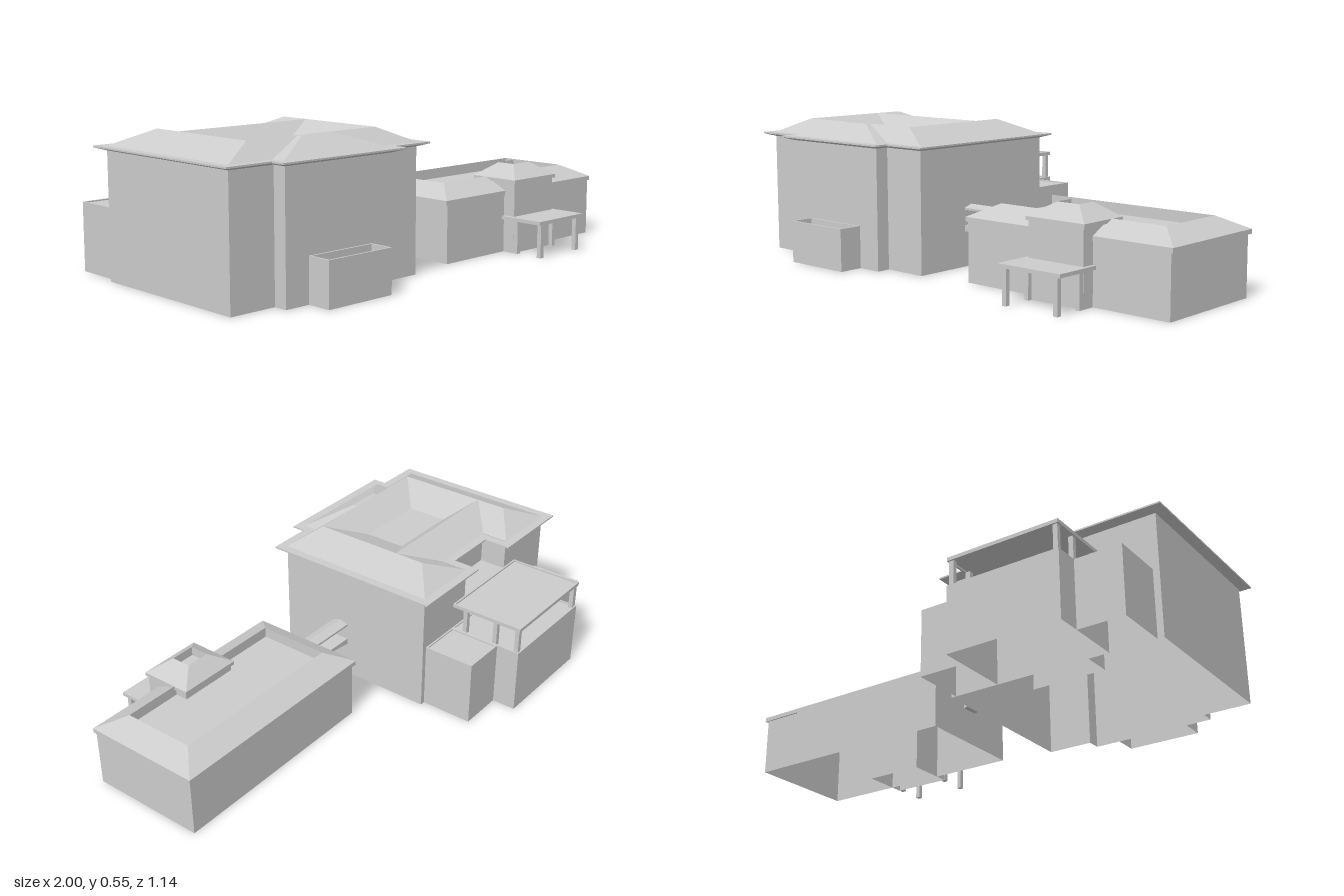
import * as THREE from 'three';

const material = new THREE.MeshStandardMaterial({
  color: 0xcccccc, flatShading: true, side: THREE.DoubleSide,
});

function add(parent, name, geometry) {
  const mesh = new THREE.Mesh(geometry, material);
  mesh.name = name;
  parent.add(mesh);
  return mesh;
}

// Flat polygons, each a convex list of [x, y, z] corners
function polygons(faces) {
  const pos = [];
  for (const f of faces)
    for (let i = 1; i < f.length - 1; i++) pos.push(...f[0], ...f[i], ...f[i + 1]);
  const g = new THREE.BufferGeometry();
  g.setAttribute('position', new THREE.Float32BufferAttribute(pos, 3));
  g.computeVertexNormals();
  return g;
}

// Bands between stacked outlines [y, [[x, z], ...]]; the last may be filled
function loft(loops, cap = false) {
  const faces = [];
  for (let k = 0; k < loops.length - 1; k++) {
    const [y0, a] = loops[k], [y1, b] = loops[k + 1];
    a.forEach((p, i) => {
      const j = (i + 1) % a.length;
      faces.push([[p[0], y0, p[1]], [a[j][0], y0, a[j][1]],
        [b[j][0], y1, b[j][1]], [b[i][0], y1, b[i][1]]]);
    });
  }
  if (cap) {
    const [y, l] = loops[loops.length - 1];
    faces.push(l.map(([x, z]) => [x, y, z]));
  }
  return polygons(faces);
}

const rect = (x0, x1, z0, z1, inset = 0) => [
  [x0 + inset, z1 - inset], [x1 - inset, z1 - inset],
  [x1 - inset, z0 + inset], [x0 + inset, z0 + inset]];

function box(parent, name, x0, x1, y0, y1, z0, z1) {
  const g = new THREE.BoxGeometry(x1 - x0, y1 - y0, z1 - z0);
  g.translate((x0 + x1) / 2, (y0 + y1) / 2, (z0 + z1) / 2);
  return add(parent, name, g);
}

// Open-bottomed block with a low rim round its sunken top
const rimmedBlock = (x0, x1, z0, z1, top, floor, rim = 0.007) => loft([
  [0, rect(x0, x1, z0, z1)], [top, rect(x0, x1, z0, z1)],
  [top, rect(x0, x1, z0, z1, rim)], [floor, rect(x0, x1, z0, z1, rim)]], true);

// Outline of the main house with front bay and rear notch, grown by o
const housePlan = (o) => [
  [-0.965 - o, 0.41 + o], [-0.78 - o, 0.41 + o], [-0.78 - o, 0.465 + o],
  [-0.29 + o, 0.465 + o], [-0.29 + o, 0.41 + o], [-0.11 + o, 0.41 + o],
  [-0.11 + o, -0.265 - o], [-0.39 - o, -0.265 - o], [-0.39 - o, -0.155 - o],
  [-0.68 + o, -0.155 - o], [-0.68 + o, -0.265 - o], [-0.965 - o, -0.265 - o]];

function mainRoof() {
  const cx = -0.5375, L = 0.487, H = 0.545;
  const w = 0.4275, u = 0.2925, v = 0.1475, b = 0.2475, t = 0.07;
  const lo = (x, z) => [cx + x, L, z], hi = (x, z) => [cx + x, H, z];
  const faces = [
    [hi(-u, -0.03), hi(u, -0.03), lo(v, -0.155), lo(-v, -0.155)], // rear slope
    [lo(-v, 0.045), lo(v, 0.045), hi(u, -0.03), hi(-u, -0.03)],   // well, back
    [hi(-u, 0.335), hi(u, 0.335), lo(v, 0.21), lo(-v, 0.21)],     // well, front
    [lo(-v, 0.21), lo(v, 0.21), lo(v, 0.045), lo(-v, 0.045)],     // well floor
    [lo(-b, 0.465), lo(b, 0.465), hi(t, 0.355), hi(-t, 0.355)],   // bay front
    [hi(-t, 0.355), hi(t, 0.355), hi(t, 0.335), hi(-t, 0.335)],   // bay top
  ];
  for (const s of [-1, 1]) {
    const side = [
      [lo(s * w, 0.41), lo(s * w, -0.265), hi(s * u, -0.155), hi(s * u, 0.335)],
      [lo(s * w, -0.265), lo(s * v, -0.265), hi(s * u, -0.155)],
      [lo(s * v, -0.265), lo(s * v, -0.155), hi(s * u, -0.03), hi(s * u, -0.155)],
      [hi(s * u, 0.335), hi(s * u, -0.03), lo(s * v, 0.045), lo(s * v, 0.21)],
      [lo(s * b, 0.41), lo(s * w, 0.41), hi(s * u, 0.335), hi(s * t, 0.335)],
      [lo(s * b, 0.465), lo(s * b, 0.41), hi(s * t, 0.335), hi(s * t, 0.355)],
    ];
    for (const f of side) faces.push(s > 0 ? f : f.reverse());
  }
  return polygons(faces);
}

// Hipped roof band around a sunken flat middle
const sunkenRoof = (eave, top, y0, y1, y2, floor) =>
  loft([[y0, eave], [y1, eave], [y2, top], [floor, top]], true);

function mainHouse() {
  const g = new THREE.Group();
  g.name = 'mainHouse';
  add(g, 'mainWalls', loft([[0, housePlan(0)], [0.472, housePlan(0)]]));
  add(g, 'mainEaves', loft([[0.47, housePlan(0)], [0.481, housePlan(0.035)],
    [0.487, housePlan(0.035)], [0.487, housePlan(0)]]));
  add(g, 'mainRoof', mainRoof());
  add(g, 'frontTerrace', rimmedBlock(-0.68, -0.39, 0.465, 0.562, 0.165, 0.13));

  // Rear wings and covered terrace
  add(g, 'rearWingRight', rimmedBlock(-0.94, -0.76, -0.475, -0.265, 0.26, 0.255));
  add(g, 'rearWingLeft', rimmedBlock(-0.31, -0.13, -0.475, -0.265, 0.26, 0.255));
  add(g, 'rearTerrace', rimmedBlock(-0.76, -0.31, -0.57, -0.265, 0.26, 0.255));
  box(g, 'notchFloor', -0.68, -0.39, 0.25, 0.255, -0.265, -0.155);
  box(g, 'notchCover', -0.68, -0.39, 0.356, 0.364, -0.265, -0.155);
  const cover = rect(-0.76, -0.31, -0.57, -0.265);
  const coverInner = rect(-0.76, -0.31, -0.57, -0.265, 0.007);
  add(g, 'terraceCover', loft([[0.356, coverInner], [0.356, cover], [0.37, cover],
    [0.37, coverInner], [0.364, coverInner]], true));
  for (const x of [-0.745, -0.325])
    for (const z of [-0.555, -0.457, -0.32])
      box(g, 'terracePost', x - 0.009, x + 0.009, 0.255, 0.357, z - 0.009, z + 0.009);
  return g;
}

function annex() {
  const g = new THREE.Group();
  g.name = 'annex';
  add(g, 'annexWalls', loft([[0, rect(0.1, 0.988, -0.083, 0.376)],
    [0.228, rect(0.1, 0.988, -0.083, 0.376)]]));
  add(g, 'annexRoof', sunkenRoof(rect(0.09, 0.997, -0.092, 0.38),
    rect(0.18, 0.905, 0, 0.285), 0.226, 0.243, 0.291, 0.25));

  // Entrance tower
  add(g, 'towerWalls', loft([[0, rect(0.435, 0.675, 0.235, 0.427)],
    [0.276, rect(0.435, 0.675, 0.235, 0.427)]]));
  add(g, 'towerRoof', sunkenRoof(rect(0.427, 0.683, 0.225, 0.434),
    rect(0.507, 0.603, 0.285, 0.362), 0.276, 0.29, 0.34, 0.305));

  // Entrance canopy on four posts
  box(g, 'canopy', 0.417, 0.69, 0.131, 0.145, 0.38, 0.567);
  for (const x of [0.442, 0.666])
    for (const z of [0.438, 0.552])
      box(g, 'canopyPost', x - 0.009, x + 0.009, 0, 0.133, z - 0.009, z + 0.009);
  return g;
}

function bridge() {
  const g = new THREE.Group();
  g.name = 'bridge';
  const x0 = -0.11, x1 = 0.1;
  // Deck with an arched underside
  const deck = new THREE.Shape();
  deck.moveTo(x0, 0.163);
  deck.lineTo(x0, 0.138);
  deck.quadraticCurveTo((x0 + x1) / 2, 0.158, x1, 0.138);
  deck.lineTo(x1, 0.163);
  deck.closePath();
  const deckGeo = new THREE.ExtrudeGeometry(deck, { depth: 0.07, bevelEnabled: false });
  add(g, 'bridgeDeck', deckGeo.translate(0, 0, 0.105));
  // Shallow gabled cover
  const gable = new THREE.Shape([[-0.035, 0.223], [0.035, 0.223], [0.035, 0.231],
    [0, 0.243], [-0.035, 0.231]].map(([x, y]) => new THREE.Vector2(x, y)));
  const coverGeo = new THREE.ExtrudeGeometry(gable, { depth: x1 - x0, bevelEnabled: false });
  add(g, 'bridgeCover', coverGeo.rotateY(Math.PI / 2).translate(x0, 0, 0.14));
  return g;
}

export function createModel() {
  const model = new THREE.Group();
  model.name = 'houseWithAnnex';
  model.add(mainHouse(), annex(), bridge());
  return model;
}
